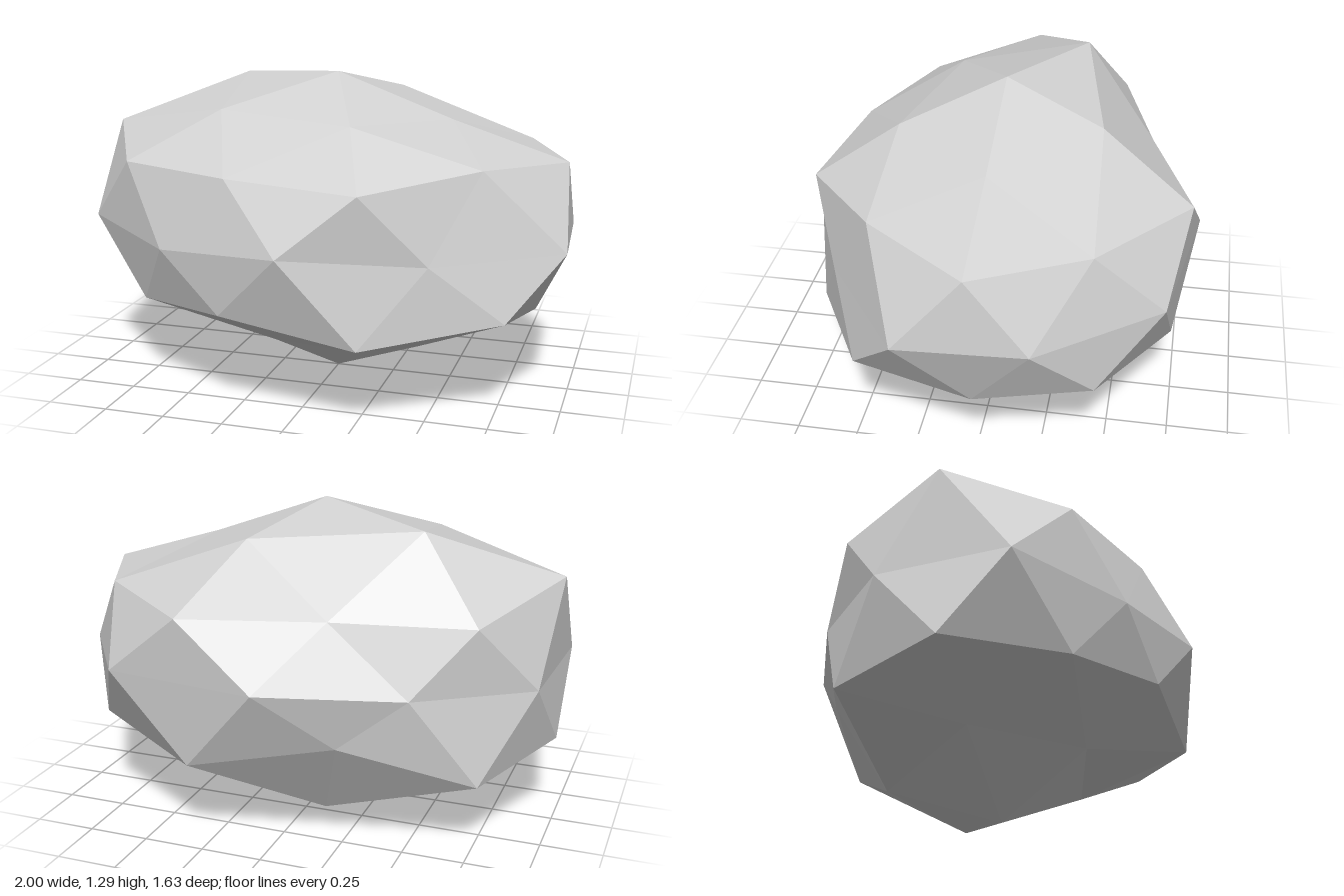
import * as THREE from 'three';

// Faceted boulder: five jittered rings of a twice-divided icosahedron plus two poles.
// Ring points run from +x towards +z.
const top = [0, 1.295, 0];
const bottom = [0, 0, 0];
const crown = [[0.49, 1.115, 0], [0.17, 1.135, 0.41], [-0.42, 1.155, 0.26], [-0.5, 1.245, -0.28], [0.18, 1.19, -0.41]];
const shoulder = [
  [0.965, 0.965, 0], [0.69, 0.995, 0.415], [0.29, 0.94, 0.735], [-0.26, 0.955, 0.65], [-0.76, 0.955, 0.45],
  [-1, 1.045, 0], [-0.76, 0.93, -0.44], [-0.22, 0.945, -0.59], [0.32, 0.955, -0.78], [0.76, 0.975, -0.44],
];
const waist = [
  [1, 0.66, 0.27], [0.53, 0.66, 0.61], [0, 0.7, 0.815], [-0.55, 0.645, 0.615], [-1, 0.675, 0.27],
  [-0.96, 0.65, -0.25], [-0.54, 0.67, -0.59], [0, 0.7, -0.815], [0.65, 0.69, -0.71], [0.97, 0.66, -0.24],
];
const hip = [
  [0.855, 0.34, 0], [0.8, 0.42, 0.475], [0.29, 0.35, 0.74], [-0.28, 0.42, 0.69], [-0.71, 0.375, 0.43],
  [-1, 0.365, 0], [-0.78, 0.3, -0.45], [-0.27, 0.46, -0.64], [0.31, 0.345, -0.735], [0.81, 0.41, -0.465],
];
const base = [[0.42, 0.22, 0.26], [-0.15, 0.23, 0.38], [-0.57, 0.2, 0], [-0.16, 0.115, -0.44], [0.485, 0.125, -0.28]];

function boulderGeometry() {
  const positions = [];
  const face = (...corners) => corners.forEach((p) => positions.push(...p));
  const at = (ring, i) => ring[(i + ring.length) % ring.length];

  // Caps: five-sided fans opening out to the ten-sided rings
  for (let k = 0; k < 5; k++) {
    const a = crown[k], a2 = at(crown, k + 1), s = 2 * k;
    face(top, a2, a);
    face(a, at(shoulder, s), at(shoulder, s - 1));
    face(a, at(shoulder, s + 1), at(shoulder, s));
    face(a, a2, at(shoulder, s + 1));

    const e = base[k], e2 = at(base, k + 1);
    face(bottom, e, e2);
    face(e, at(hip, s), at(hip, s + 1));
    face(e, at(hip, s + 1), at(hip, s + 2));
    face(e, at(hip, s + 2), e2);
  }

  // Belt: two bands of alternating triangles
  for (let j = 0; j < 10; j++) {
    face(shoulder[j], waist[j], at(waist, j - 1));
    face(shoulder[j], at(shoulder, j + 1), waist[j]);
    face(at(waist, j - 1), waist[j], hip[j]);
    face(waist[j], at(hip, j + 1), hip[j]);
  }

  const geometry = new THREE.BufferGeometry();
  geometry.setAttribute('position', new THREE.Float32BufferAttribute(positions, 3));
  geometry.computeVertexNormals();
  return geometry;
}

export function createModel() {
  const stone = new THREE.MeshStandardMaterial({ color: 0xd2d2d2 });
  stone.name = 'stoneGrey';
  stone.flatShading = true;

  const boulder = new THREE.Mesh(boulderGeometry(), stone);
  boulder.name = 'boulder';

  const model = new THREE.Group();
  model.name = 'rock';
  model.add(boulder);
  return model;
}
